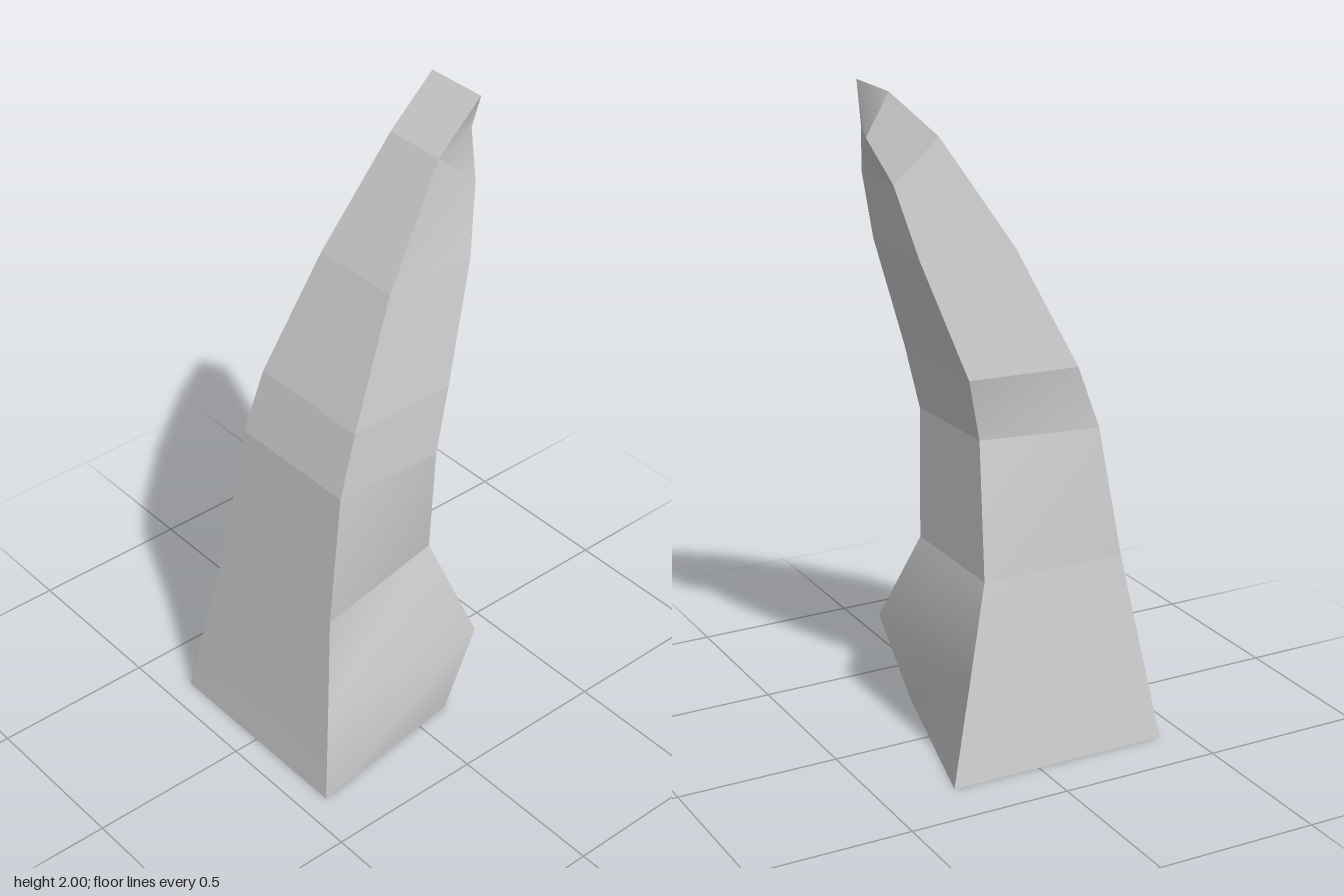
import * as THREE from 'three';
import { mergeGeometries } from 'three/addons/utils/BufferGeometryUtils.js';

// Corner rails of the horn, base to tip: [x, y, z]
const outerFront = [
  [-0.42, 0, 0.334], [-0.372, 0.29, 0.29], [-0.325, 0.58, 0.245], [-0.26, 0.98, 0.218],
  [-0.195, 1.17, 0.205], [-0.02, 1.53, 0.148], [0.195, 1.86, 0.1], [0.347, 2, 0.1],
];
const outerBack = outerFront.map(([x, y, z]) => [x, y, -z]);
const innerFront = [
  [0.12, 0, 0.265], [0.208, 0.29, 0.296], [0.13, 0.58, 0.165], [0.1, 0.97, 0.22],
  [0.157, 1.18, 0.205], [0.28, 1.53, 0.148], [0.336, 1.74, 0.1], [0.357, 1.88, 0.055],
];
const innerBack = [
  [0.28, 0, -0.335], [0.205, 0.29, -0.288], [0.13, 0.58, -0.24], [0.1, 0.98, -0.155],
  [0.157, 1.18, -0.2], [0.28, 1.53, -0.143], [0.336, 1.74, -0.1], [0.417, 1.88, -0.1],
];
const rails = [outerFront, innerFront, innerBack, outerBack];

// Panel between two rails over a run of levels; smooth inside, sharp at its border
function panel(a, b, from, to) {
  const positions = [], index = [];
  for (let i = from; i <= to; i++) positions.push(...a[i], ...b[i]);
  for (let i = 0; i < to - from; i++) {
    const k = i * 2;
    index.push(k, k + 1, k + 3, k, k + 3, k + 2);
  }
  const g = new THREE.BufferGeometry();
  g.setAttribute('position', new THREE.Float32BufferAttribute(positions, 3));
  g.setIndex(index);
  g.computeVertexNormals();
  return g;
}

export function createModel() {
  const group = new THREE.Group();
  group.name = 'curvedHorn';
  const material = new THREE.MeshStandardMaterial({ color: 0xcccccc, side: THREE.DoubleSide });

  // Four-sided shell, open at the base; the two lowest levels share one panel
  const bands = [[0, 2], [2, 3], [3, 4], [4, 5], [5, 6], [6, 7]];
  const panels = [];
  rails.forEach((rail, s) => {
    const next = rails[(s + 1) % 4];
    for (const [from, to] of bands) panels.push(panel(rail, next, from, to));
  });
  const shell = new THREE.Mesh(mergeGeometries(panels), material);
  shell.name = 'hornShell';
  group.add(shell);

  // Slanted end face at the tip
  const tip = new THREE.Mesh(
    panel([outerFront[7], outerBack[7]], [innerFront[7], innerBack[7]], 0, 1), material);
  tip.name = 'tipFace';
  group.add(tip);

  return group;
}
